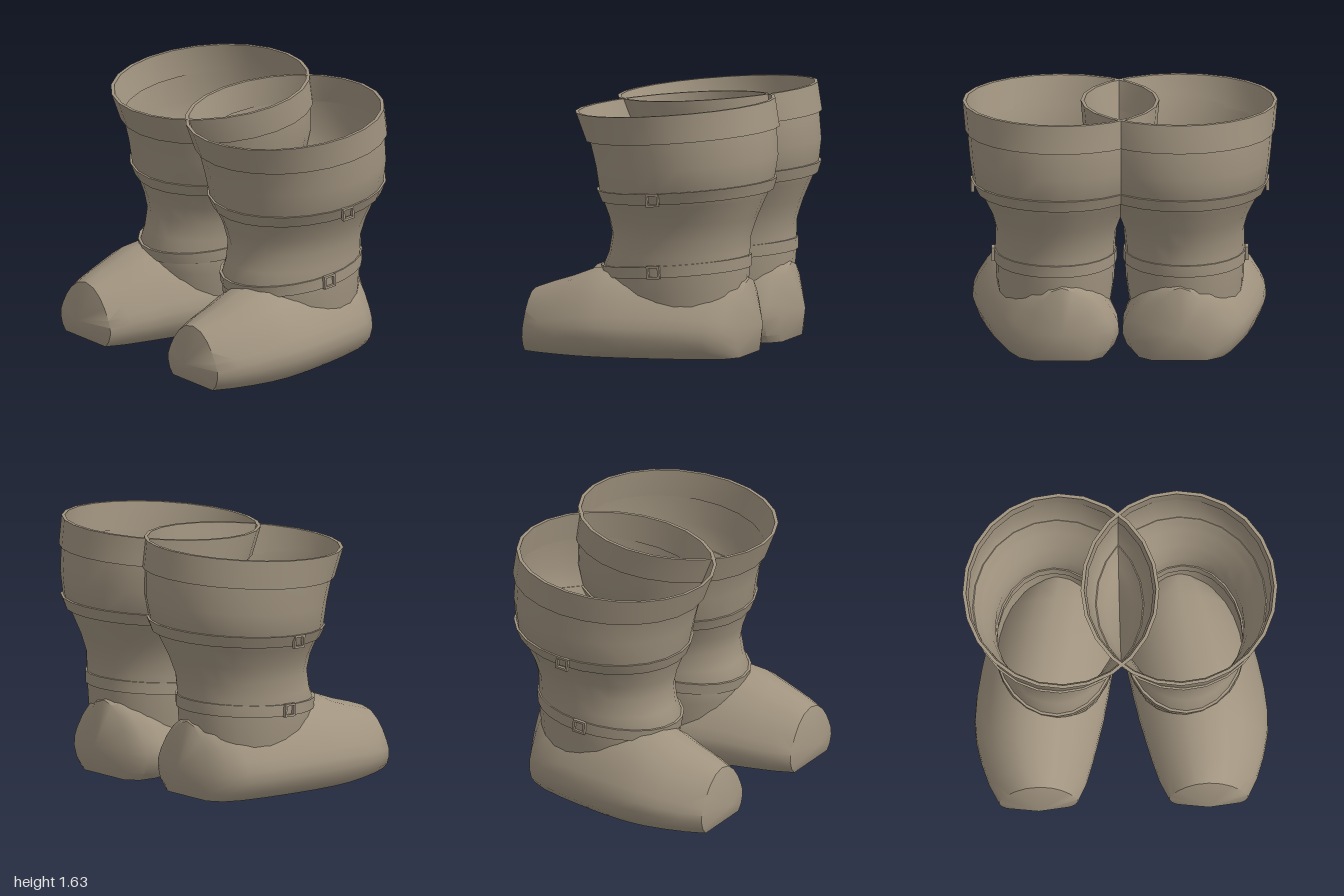
import * as THREE from 'three';
import { toCreasedNormals } from 'three/addons/utils/BufferGeometryUtils.js';

const leather = new THREE.MeshStandardMaterial({ color: 0xa19480, side: THREE.DoubleSide });
leather.name = 'taupe leather';
const SEGMENTS = 24;

// Skin a list of closed rings (arrays of [x, y, z]) into one surface
function loft(rings, crease, closed = false) {
  const n = rings[0].length, index = [];
  const last = closed ? rings.length : rings.length - 1;
  for (let i = 0; i < last; i++) {
    const k = (i + 1) % rings.length;
    for (let j = 0; j < n; j++) {
      const m = (j + 1) % n;
      const a = i * n + j, b = i * n + m, c = k * n + m, d = k * n + j;
      index.push(a, b, c, a, c, d);
    }
  }
  const geometry = new THREE.BufferGeometry();
  geometry.setAttribute('position', new THREE.Float32BufferAttribute(rings.flat(2), 3));
  geometry.setIndex(index);
  geometry.computeVertexNormals();
  return crease ? toCreasedNormals(geometry, crease) : geometry;
}

// Tilted elliptical ring running through a front and a back point
function ring([cx, hw, zf, yf, zb, yb], grow = 0) {
  return Array.from({ length: SEGMENTS }, (_, j) => {
    const t = (j / SEGMENTS) * Math.PI * 2, c = Math.cos(t);
    return [
      cx + (hw + grow) * Math.sin(t),
      (yf + yb) / 2 + ((yf - yb) / 2) * c,
      (zf + zb) / 2 + ((zf - zb) / 2 + grow) * c,
    ];
  });
}

// Closed band with a real thickness, from a lower and an upper ring
function band(low, high, thickness) {
  return loft([ring(low), ring(high), ring(high, -thickness), ring(low, -thickness)], 0.7, true);
}

// Half of the foot's cross-section: [width fraction, height fraction]
const HALF = [[0.8, 0], [0.93, 0.1], [1, 0.24], [0.99, 0.36], [0.92, 0.48], [0.77, 0.66], [0.58, 0.82], [0.32, 0.95]];
function footSection([z, cx, hw, height, base = 0]) {
  const outline = [
    ...HALF.map(([u, v]) => [-u, v]),
    [0, 1],
    ...[...HALF].reverse(),
  ];
  return outline.map(([u, v]) => [cx + u * hw, base + v * height, z]);
}

function createBoot() {
  const boot = new THREE.Group();
  const add = (name, geometry) => {
    const mesh = new THREE.Mesh(geometry, leather);
    mesh.name = name;
    boot.add(mesh);
    return mesh;
  };

  // Foot, from pointed toe to pointed heel: z, centre x, half width, height, base
  add('foot', loft([
    [0.815, 0.54, 0, 0, 0.14],
    [0.74, 0.54, 0.25, 0.38],
    [0.62, 0.54, 0.31, 0.425],
    [0.48, 0.54, 0.355, 0.47],
    [0.34, 0.535, 0.39, 0.525],
    [0.2, 0.52, 0.412, 0.545],
    [0.04, 0.495, 0.42, 0.55],
    [-0.14, 0.46, 0.42, 0.55],
    [-0.32, 0.425, 0.41, 0.54],
    [-0.48, 0.395, 0.385, 0.53],
    [-0.59, 0.38, 0.33, 0.51],
    [-0.65, 0.375, 0.22, 0.49],
    [-0.74, 0.375, 0, 0, 0.2],
  ].map(footSection), 0.8));

  // Shaft: centre x, half width, front z and y, back z and y
  add('shaft', loft([
    [0.41, 0.34, 0.25, 0.2, -0.6, 0.15],
    [0.41, 0.375, 0.3, 0.42, -0.63, 0.38],
    [0.41, 0.38, 0.31, 0.54, -0.645, 0.56],
    [0.41, 0.38, 0.27, 0.63, -0.645, 0.66],
    [0.405, 0.385, 0.25, 0.75, -0.65, 0.76],
    [0.4, 0.42, 0.27, 0.85, -0.69, 0.88],
    [0.395, 0.48, 0.305, 0.95, -0.745, 1.01],
    [0.39, 0.545, 0.335, 1.04, -0.79, 1.12],
    [0.38, 0.575, 0.36, 1.19, -0.81, 1.27],
    [0.375, 0.595, 0.4, 1.345, -0.795, 1.45],
    [0.375, 0.61, 0.475, 1.515, -0.77, 1.62],
  ].map((r) => ring(r))));

  // Turned cuff and the two straps
  add('cuff', band(
    [0.375, 0.608, 0.425, 1.345, -0.815, 1.45],
    [0.375, 0.625, 0.495, 1.525, -0.785, 1.63], 0.022));
  add('calfStrap', band(
    [0.39, 0.52, 0.32, 0.96, -0.785, 1.05],
    [0.39, 0.558, 0.348, 1.035, -0.808, 1.127], 0.02));
  add('ankleStrap', band(
    [0.41, 0.39, 0.312, 0.475, -0.655, 0.56],
    [0.41, 0.39, 0.325, 0.545, -0.658, 0.637], 0.02));

  // Square buckle frames on the outer side
  const frame = new THREE.Shape([[-1, -1], [1, -1], [1, 1], [-1, 1]]
    .map(([x, y]) => new THREE.Vector2(x * 0.044, y * 0.042)));
  frame.holes.push(new THREE.Path([[-1, -1], [-1, 1], [1, 1], [1, -1]]
    .map(([x, y]) => new THREE.Vector2(x * 0.03, y * 0.028))));
  const buckle = new THREE.ExtrudeGeometry(frame, { depth: 0.022, bevelEnabled: false });
  for (const [name, x, y, z] of [
    ['calfBuckle', 0.926, 1.038, -0.205],
    ['ankleBuckle', 0.794, 0.555, -0.16],
  ]) {
    const mesh = add(name, buckle);
    mesh.position.set(x, y, z);
    mesh.rotation.set(0.08, Math.PI / 2, 0, 'XYZ');
  }
  return boot;
}

export function createModel() {
  const pair = new THREE.Group();
  pair.name = 'boots';
  const left = createBoot();
  left.name = 'leftBoot';
  const right = createBoot();
  right.name = 'rightBoot';
  right.scale.x = -1;
  pair.add(left, right);
  return pair;
}
